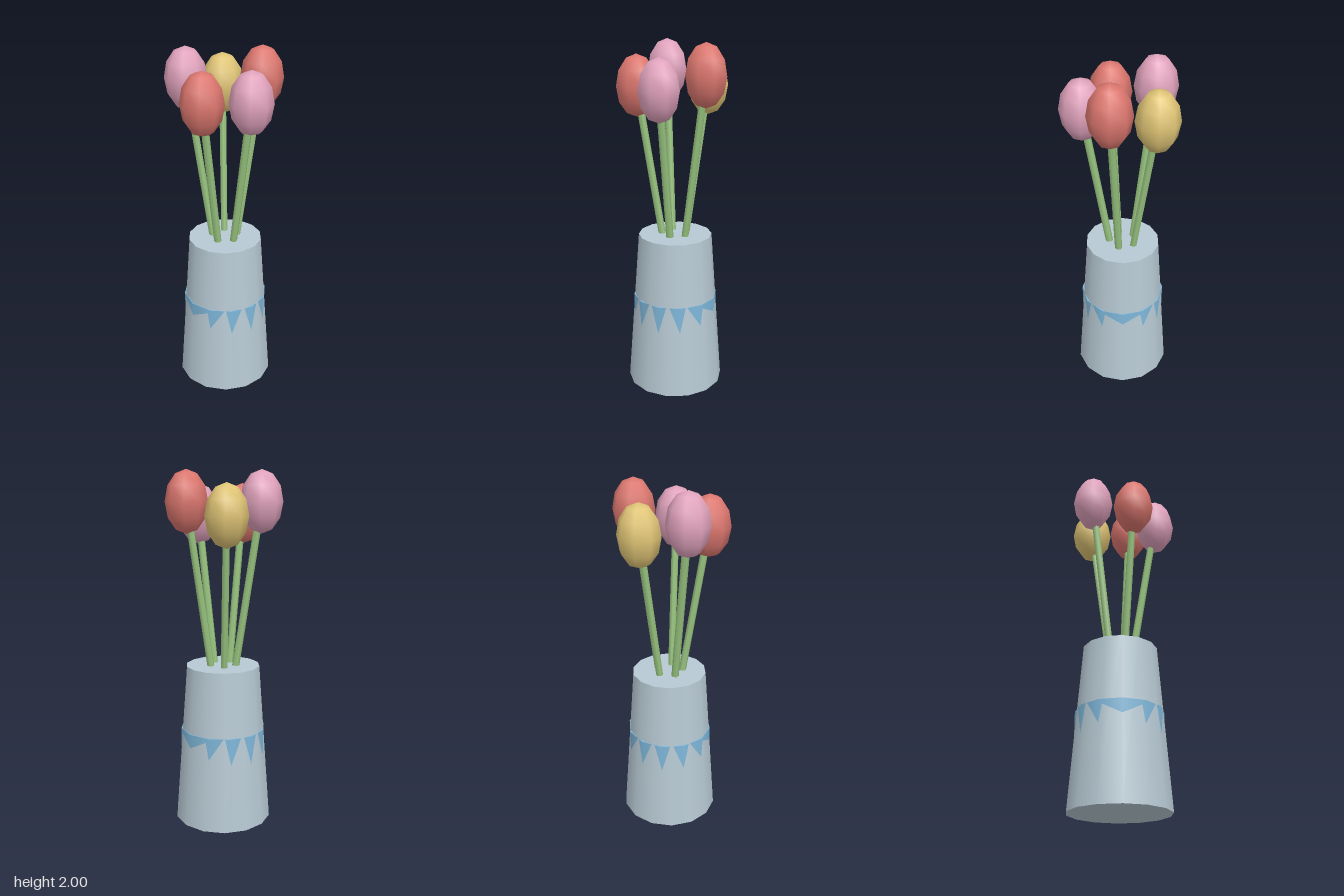
import * as THREE from 'three';

const mat = (name, color) => {
  const m = new THREE.MeshStandardMaterial({ color });
  m.name = name;
  return m;
};

export function createModel() {
  const grey = mat('pale grey glaze', 0xb7c9d3);
  const blue = mat('blue glaze', 0x7fb8db);
  const green = mat('stem green', 0x98c47f);
  const pink = mat('petal pink', 0xe0a2bc);
  const red = mat('petal red', 0xdb766e);
  const yellow = mat('petal yellow', 0xdfc475);

  const model = new THREE.Group();
  model.name = 'vaseOfTulips';
  const arrangement = new THREE.Group();
  arrangement.name = 'arrangement';
  arrangement.position.x = -0.0225;
  model.add(arrangement);

  const add = (name, geometry, material, parent = arrangement) => {
    const mesh = new THREE.Mesh(geometry, material);
    mesh.name = name;
    parent.add(mesh);
    return mesh;
  };

  // Tapered vase with a closed top
  add('vase', new THREE.CylinderGeometry(0.211, 0.28, 0.915, 14), grey).position.y = 0.4575;

  // Twelve-sided blue band; its corners come through the vase wall as pointed teeth
  add('blueBand', new THREE.CylinderGeometry(0.245, 0.245, 0.2, 12), blue).position.y = 0.445;

  // Five tulips fanned around the vase axis: petal colour and bloom height
  const tulips = [
    [pink, 1.76],
    [red, 1.76],
    [pink, 1.83],
    [yellow, 1.76],
    [red, 1.83],
  ];
  const up = new THREE.Vector3(0, 1, 0);
  tulips.forEach(([petal, height], i) => {
    const angle = (i * Math.PI * 2) / 5;
    const at = (r, y) => new THREE.Vector3(r * Math.cos(angle), y, r * Math.sin(angle));
    const tulip = new THREE.Group();
    tulip.name = 'tulip' + (i + 1);
    arrangement.add(tulip);

    // Straight stem leaning outwards
    const foot = at(0.055, 0.78);
    const tip = at(0.2125, height);
    const dir = tip.clone().sub(foot);
    const geometry = new THREE.CylinderGeometry(0.021, 0.021, dir.length(), 6);
    geometry.rotateY(Math.PI / 2 - angle);
    const stem = add('stem', geometry, green, tulip);
    stem.position.copy(foot).lerp(tip, 0.5);
    stem.quaternion.setFromUnitVectors(up, dir.normalize());

    // Egg-shaped bloom
    const bloom = add('bloom', new THREE.SphereGeometry(0.117, 8, 6), petal, tulip);
    bloom.scale.y = 0.17 / 0.117;
    bloom.position.copy(tip);
  });

  return model;
}
